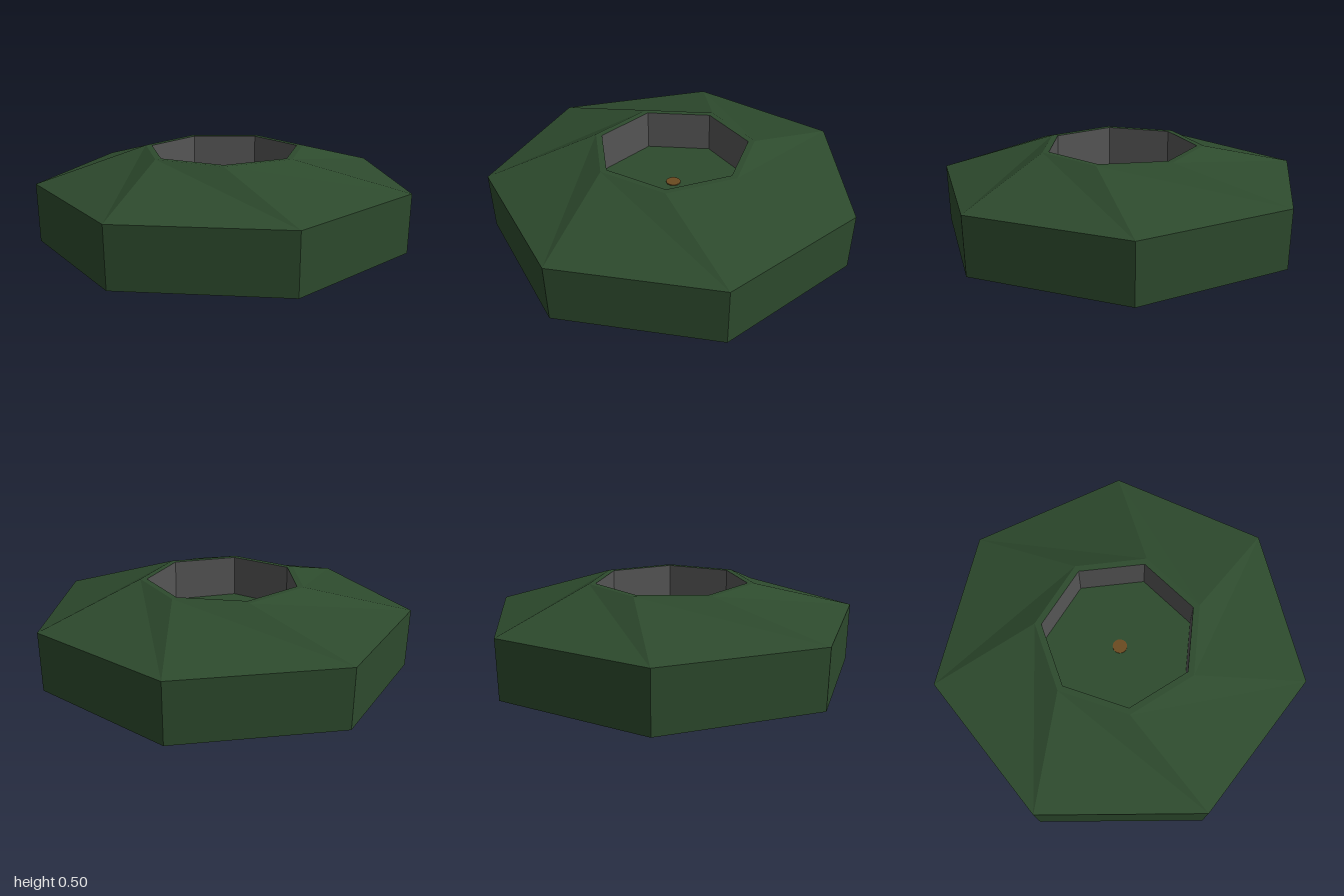
import * as THREE from 'three';

const SIDES = 7;
const CX = -0.03, CZ = -0.025;      // axis of the body
const OUTER = -5.3, INNER = 65.6;   // first corner of the outer and inner heptagons, in degrees

// Corners of a horizontal heptagon
function ring(radius, y, startDeg) {
  return Array.from({ length: SIDES }, (_, k) => {
    const t = THREE.MathUtils.degToRad(startDeg) + (k / SIDES) * Math.PI * 2;
    return new THREE.Vector3(CX + radius * Math.cos(t), y, CZ + radius * Math.sin(t));
  });
}

// Flat-shaded triangles joining each ring to the next
function skin(...rings) {
  const points = [];
  const tri = (a, b, c) => {
    const area = b.clone().sub(a).cross(c.clone().sub(a)).length();
    if (area > 1e-8) points.push(a, b, c);
  };
  for (let r = 0; r < rings.length - 1; r++) {
    const lower = rings[r], upper = rings[r + 1];
    for (let k = 0; k < SIDES; k++) {
      const n = (k + 1) % SIDES;
      tri(lower[n], lower[k], upper[k]);
      tri(lower[n], upper[k], upper[n]);
    }
  }
  const geometry = new THREE.BufferGeometry().setFromPoints(points);
  geometry.computeVertexNormals();
  return geometry;
}

export function createModel() {
  const group = new THREE.Group();
  const add = (name, geometry, color) => {
    const material = new THREE.MeshStandardMaterial({ color, flatShading: true });
    const mesh = new THREE.Mesh(geometry, material);
    mesh.name = name;
    group.add(mesh);
    return mesh;
  };
  const green = 0x2d4a2d, floorY = 0.275;

  // Underside and slightly flared outer walls
  add('base', skin(ring(0, 0.01, OUTER), ring(1.012, 0.01, OUTER), ring(1.02, 0.33, OUTER)), green);

  // Twisted sloping roof, ending in a narrow flat rim
  add('twistedRoof', skin(ring(1.02, 0.33, OUTER), ring(0.45, 0.5, INNER), ring(0.414, 0.5, INNER)), green);

  // Recess: upright walls and floor
  add('recessWall', skin(ring(0.414, 0.5, INNER), ring(0.414, floorY, INNER)), 0x555555);
  add('recessFloor', skin(ring(0.414, floorY, INNER), ring(0, floorY, INNER)), green);

  // Central pin, showing at the floor and the underside
  const pin = add('centerPin', new THREE.CylinderGeometry(0.04, 0.04, floorY + 0.005, 16), 0x6b4a20);
  pin.position.set(CX, (floorY + 0.005) / 2, CZ);

  return group;
}
